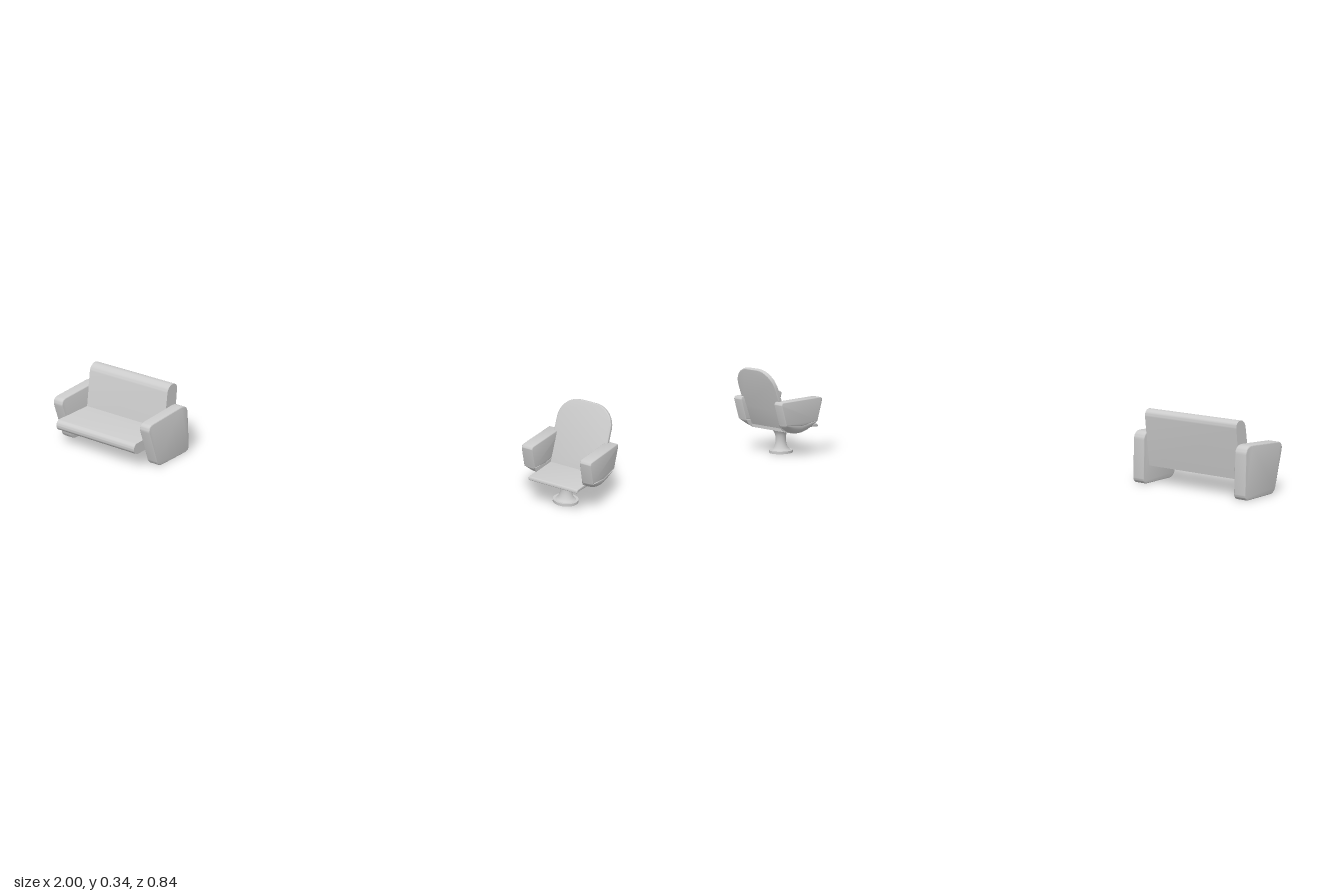
import * as THREE from 'three';
import { toCreasedNormals } from 'three/addons/utils/BufferGeometryUtils.js';
import { ParametricGeometry } from 'three/addons/geometries/ParametricGeometry.js';

const material = new THREE.MeshStandardMaterial({ color: 0xcccccc });
const doubleSided = new THREE.MeshStandardMaterial({ color: 0xcccccc, side: THREE.DoubleSide });

function addMesh(group, name, geometry, mat = material) {
  const mesh = new THREE.Mesh(geometry, mat);
  mesh.name = name;
  group.add(mesh);
  return mesh;
}

// Closed polygon whose corners [x, y, radius] are rounded off
function roundedShape(corners) {
  const shape = new THREE.Shape();
  const n = corners.length;
  corners.forEach(([x, y, r = 0], i) => {
    const p = new THREE.Vector2(x, y);
    const toward = ([a, b]) => new THREE.Vector2(a, b).sub(p).setLength(r).add(p);
    const start = toward(corners[(i + n - 1) % n]);
    const end = toward(corners[(i + 1) % n]);
    if (i === 0) shape.moveTo(start.x, start.y);
    else shape.lineTo(start.x, start.y);
    if (r > 0) shape.bezierCurveTo(
      start.x + (x - start.x) * 0.55, start.y + (y - start.y) * 0.55,
      end.x + (x - end.x) * 0.55, end.y + (y - end.y) * 0.55, end.x, end.y);
  });
  shape.closePath();
  return shape;
}

// Extrusion centred on its depth, with an edge bevel kept inside the outline
function extrude(shape, depth, bevel = 0) {
  const geometry = new THREE.ExtrudeGeometry(shape, {
    depth: depth - 2 * bevel, curveSegments: 8, bevelEnabled: bevel > 0,
    bevelSize: bevel, bevelThickness: bevel, bevelOffset: -bevel, bevelSegments: 3,
  });
  geometry.translate(0, 0, bevel - depth / 2);
  return toCreasedNormals(geometry, 0.6);
}

// Side profile given in (z, y), extruded along x
const sideExtrude = (corners, width, bevel) =>
  extrude(roundedShape(corners), width, bevel).rotateY(-Math.PI / 2);

function createSofa() {
  const sofa = new THREE.Group();
  sofa.name = 'sofa';

  // Slab arms reaching the floor
  const armProfile = [
    [0.16, 0, 0.02], [0.16, 0.188, 0.028], [0.2, 0.19, 0.01],
    [0.392, 0.178, 0.03], [0.344, 0, 0.022],
  ];
  for (const side of [-1, 1]) {
    addMesh(sofa, side < 0 ? 'rightArm' : 'leftArm', sideExtrude(armProfile, 0.046, 0.003))
      .position.x = side * 0.216;
  }

  // Seat with a round front edge
  addMesh(sofa, 'seat', sideExtrude([
    [0.2, 0.064], [0.423, 0.064, 0.021], [0.423, 0.107, 0.021], [0.2, 0.107],
  ], 0.388));

  // Leaning backrest with a round top
  addMesh(sofa, 'backrest', sideExtrude([
    [0.194, 0.064], [0.161, 0.272, 0.027], [0.216, 0.272, 0.027], [0.258, 0.064],
  ], 0.388));

  sofa.position.x = -0.761;
  return sofa;
}

function createChair() {
  const chair = new THREE.Group();
  chair.name = 'chair';
  const centerZ = -0.281;

  // Disc foot and waisted pedestal
  addMesh(chair, 'foot', new THREE.CylinderGeometry(0.046, 0.046, 0.01, 32))
    .position.set(0, 0.005, centerZ);
  const neck = new THREE.CatmullRomCurve3([
    [0.038, 0.009], [0.029, 0.018], [0.022, 0.035], [0.02, 0.055], [0.023, 0.075], [0.033, 0.093], [0.036, 0.1],
  ].map(([r, y]) => new THREE.Vector3(r, y, 0)));
  const profile = neck.getPoints(24).map((p) => new THREE.Vector2(p.x, p.y));
  addMesh(chair, 'pedestal', new THREE.LatheGeometry(profile, 32), doubleSided)
    .position.z = centerZ;

  // Thin seat with a slightly deeper, bowed front lip
  const seat = sideExtrude([
    [-0.345, 0.098], [-0.235, 0.098], [-0.205, 0.102, 0.008], [-0.174, 0.098, 0.004],
    [-0.174, 0.112, 0.008], [-0.345, 0.112],
  ], 0.196, 0.002);
  addMesh(chair, 'seat', seat);

  // Thin tilted backrest with a round top
  const back = extrude(roundedShape([
    [-0.094, 0], [0.094, 0], [0.108, 0.08, 0.01], [0.107, 0.252, 0.078], [-0.107, 0.252, 0.078], [-0.108, 0.08, 0.01],
  ]), 0.015, 0.003);
  const backrest = addMesh(chair, 'backrest', back);
  backrest.position.set(0, 0.104, -0.335);
  backrest.rotation.x = -0.325;

  // Tapered arms: a straight panel above a shallow V, a rounded keel below
  const front = -0.212, rear = -0.374, middle = (front + rear) / 2;
  const arm = sideExtrude([
    [front, 0.131], [-0.182, 0.222, 0.016], [-0.399, 0.222, 0.016], [rear, 0.131], [middle, 0.121],
  ], 0.044, 0.003);
  const innerWall = sideExtrude([
    [front, 0.131], [-0.225, 0.109, 0.012], [-0.262, 0.09, 0.018], [-0.324, 0.09, 0.018],
    [-0.361, 0.109, 0.012], [rear, 0.131], [middle, 0.121],
  ], 0.004);
  const keelGeometry = (side) => new ParametricGeometry((u, v, target) => {
    const t = 2 * u - 1;
    const angle = v * Math.PI / 2;
    const rim = 0.121 + 0.01 * Math.abs(t);
    const bottom = 0.131 - 0.042 * Math.pow(1 - t * t, 0.8);
    const x = 0.094 + 0.045 * Math.pow(Math.cos(angle), 0.7);
    const y = rim + (Math.min(bottom, rim) - rim) * Math.sin(angle);
    target.set(side * x, y, middle + t * (front - rear) / 2);
  }, 24, 10);
  for (const side of [-1, 1]) {
    const armGroup = new THREE.Group();
    armGroup.name = side < 0 ? 'rightArm' : 'leftArm';
    addMesh(armGroup, 'armPanel', arm).position.x = side * 0.116;
    addMesh(armGroup, 'armInnerWall', innerWall).position.x = side * 0.096;
    addMesh(armGroup, 'armKeel', keelGeometry(side), doubleSided);
    chair.add(armGroup);
  }

  chair.position.x = 0.859;
  return chair;
}

export function createModel() {
  const model = new THREE.Group();
  model.name = 'seating';
  model.add(createSofa(), createChair());
  return model;
}
